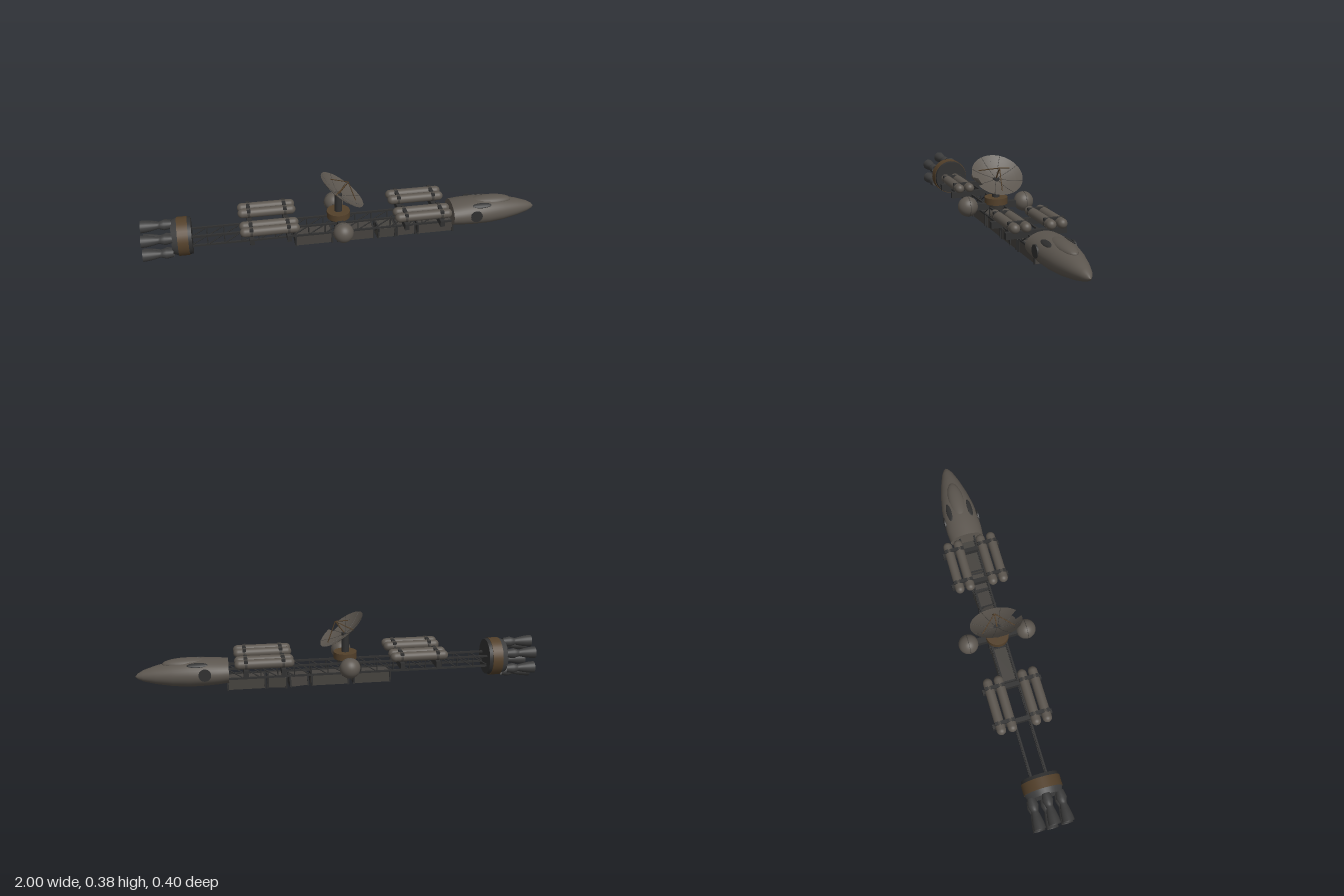
import * as THREE from 'three';

const mat = (name, color, side = THREE.FrontSide) => {
  const m = new THREE.MeshStandardMaterial({ color, side });
  m.name = name;
  return m;
};

export function createModel() {
  const hull = mat('warm grey hull', 0x5c564f);
  const dishMat = mat('dish grey', 0x5c564f, THREE.DoubleSide);
  const cargo = mat('cargo grey', 0x45423e);
  const dark = mat('dark metal', 0x303030);
  const engineMat = mat('engine grey', 0x3c3c3c, THREE.DoubleSide);
  const brown = mat('brown band', 0x53402a);
  const root = new THREE.Group();

  const add = (name, geo, m, x = 0, y = 0, z = 0, parent = root) => {
    const mesh = new THREE.Mesh(geo, m);
    mesh.name = name;
    mesh.position.set(x, y, z);
    parent.add(mesh);
    return mesh;
  };
  const box = (name, m, w, h, d, x, y, z, parent) =>
    add(name, new THREE.BoxGeometry(w, h, d), m, x, y, z, parent);
  // Cylinder along x, r1 at the +x end
  const cylX = (r1, r2, len, sides = 32) =>
    new THREE.CylinderGeometry(r1, r2, len, sides).rotateZ(-Math.PI / 2);
  // Straight bar between two points
  const bar = (name, a, b, r, m, parent, sides = 6) => {
    const A = new THREE.Vector3(...a), B = new THREE.Vector3(...b);
    const mesh = add(name, new THREE.CylinderGeometry(r, r, A.distanceTo(B), sides), m, 0, 0, 0, parent);
    mesh.position.copy(A).add(B).multiplyScalar(0.5);
    mesh.quaternion.setFromUnitVectors(new THREE.Vector3(0, 1, 0), B.sub(A).normalize());
  };

  // Crew nose: elliptical sections [x, centre y, half height, half width]
  const sections = [
    [0.55, 0.115, 0.058, 0.088], [0.6, 0.115, 0.063, 0.092], [0.66, 0.115, 0.067, 0.092],
    [0.74, 0.114, 0.068, 0.086], [0.82, 0.112, 0.06, 0.072], [0.9, 0.11, 0.045, 0.051],
    [0.96, 0.108, 0.028, 0.03], [0.988, 0.106, 0.014, 0.014], [1, 0.105, 0.001, 0.001],
  ];
  const N = 40, pos = [], idx = [];
  sections.forEach(([x, cy, hy, hz], i) => {
    for (let j = 0; j < N; j++) {
      const a = (j / N) * Math.PI * 2;
      pos.push(x, cy + hy * Math.cos(a), hz * Math.sin(a));
      if (i < sections.length - 1) {
        const p = i * N + j, q = i * N + ((j + 1) % N);
        idx.push(p, q, p + N, q, q + N, p + N);
      }
    }
  });
  const noseGeo = new THREE.BufferGeometry();
  noseGeo.setAttribute('position', new THREE.Float32BufferAttribute(pos, 3));
  noseGeo.setIndex(idx);
  noseGeo.computeVertexNormals();
  add('crewNose', noseGeo, hull);
  const bulkhead = add('noseBulkhead', new THREE.CircleGeometry(1, N).rotateY(-Math.PI / 2), hull, 0.55, 0.115, 0);
  bulkhead.scale.set(1, 0.058, 0.088);

  // Canopy hump, glazing and side hatch
  const blob = (name, m, x, y, z, sx, sy, sz, tilt = 0) => {
    const b = add(name, new THREE.SphereGeometry(1, 28, 16), m, x, y, z);
    b.scale.set(sx, sy, sz);
    b.rotation.x = tilt;
  };
  blob('canopyHump', hull, 0.75, 0.162, 0, 0.12, 0.027, 0.042);
  for (const s of [-1, 1])
    blob('canopyWindow', dark, 0.7, 0.167, s * 0.056, 0.05, 0.005, 0.015, s * 0.56);
  for (const s of [-1, 1]) {
    const hatch = add('sideHatch', new THREE.CylinderGeometry(0.03, 0.03, 0.008, 24), dark, 0.665, 0.125, s * 0.09);
    hatch.rotation.x = s * Math.PI / 2;
  }

  // Truss spine
  const truss = new THREE.Group();
  truss.name = 'trussSpine';
  root.add(truss);
  const x0 = -0.77, x1 = 0.56, y0 = 0.082, y1 = 0.134, bays = 16, step = (x1 - x0) / bays;
  for (const z of [-0.038, 0.038]) {
    for (const y of [y0, y1]) box('rail', dark, x1 - x0, 0.009, 0.009, (x0 + x1) / 2, y, z, truss);
    for (let i = 0; i < bays; i++) {
      const x = x0 + i * step;
      bar('post', [x, y0, z], [x, y1, z], 0.003, dark, truss);
      bar('diagonal', [x, y0, z], [x + step, y1, z], 0.003, dark, truss);
    }
  }

  // Paired tanks on cross beams
  for (const cx of [-0.385, 0.378]) {
    for (const z of [-0.115, -0.06, 0.06, 0.115]) {
      add('tank', new THREE.CapsuleGeometry(0.0235, 0.243, 8, 24).rotateZ(Math.PI / 2), hull, cx, 0.18, z);
      for (const dx of [-0.09, 0.09])
        add('tankStrap', cylX(0.0245, 0.0245, 0.012, 24), cargo, cx + dx, 0.18, z);
    }
    for (const dx of [-0.09, 0.09]) {
      box('tankBeam', dark, 0.022, 0.032, 0.3, cx + dx, 0.141, 0);
      for (const s of [-1, 1]) box('tankClamp', dark, 0.018, 0.012, 0.1, cx + dx, 0.197, s * 0.0875);
    }
  }

  // Cargo containers; the third is buckled in the middle
  const container = (x, len) => {
    const g = new THREE.Group();
    g.name = 'cargoContainer';
    g.position.set(x, 0.053, 0);
    root.add(g);
    box('containerBody', cargo, len, 0.054, 0.084, 0, 0, 0, g);
    for (const s of [-1, 1]) box('containerFrame', dark, 0.008, 0.058, 0.094, s * (len / 2 - 0.004), 0, 0, g);
    return g;
  };
  for (const x of [-0.162, 0.05, 0.465]) container(x, 0.192);
  const bent = [container(0.208, 0.096), container(0.312, 0.1)];
  bent[0].rotation.set(0.06, 0.06, -0.06);
  bent[1].rotation.set(-0.05, -0.05, 0.05);

  // Dish pedestal and side spheres
  const px = -0.032;
  add('pedestalFoot', new THREE.CylinderGeometry(0.05, 0.038, 0.03, 32), cargo, px, 0.138, 0);
  add('pedestalCollar', new THREE.CylinderGeometry(0.058, 0.058, 0.033, 32), brown, px, 0.168, 0);
  add('dishMast', new THREE.CylinderGeometry(0.018, 0.019, 0.1, 20), dark, px, 0.232, 0);
  box('sphereArm', dark, 0.03, 0.032, 0.26, px, 0.141, 0);
  for (const s of [-1, 1]) {
    add('sphereTank', new THREE.SphereGeometry(0.05, 32, 20), hull, px, 0.147, s * 0.15);
    add('sphereSeam', new THREE.TorusGeometry(0.05, 0.0015, 6, 40), cargo, px, 0.147, s * 0.15);
  }

  // Tilted dish with a bite out of its rim
  const dish = new THREE.Group();
  dish.name = 'dish';
  dish.position.set(-0.012, 0.302, 0);
  dish.rotation.z = -0.6435;
  root.add(dish);
  const R = 0.13, depth = (r) => 0.03 * ((r / R) ** 2 - 1);
  const profile = (a, b, n) => Array.from({ length: n + 1 }, (_, i) => {
    const r = a + ((b - a) * i) / n;
    return new THREE.Vector2(r, depth(r));
  });
  add('dishBowl', new THREE.LatheGeometry(profile(0.001, 0.098, 8), 48), dishMat, 0, 0, 0, dish);
  add('dishRim', new THREE.LatheGeometry(profile(0.098, R, 3), 46, 0.47, Math.PI * 2 - 0.45), dishMat, 0, 0, 0, dish);
  for (let i = 0; i < 8; i++) {
    const a = ((i + 0.5) / 8) * Math.PI * 2, end = i === 0 ? 0.097 : R;
    const pts = [0.005, 0.045, 0.09, end].map((r) =>
      new THREE.Vector3(r * Math.sin(a), depth(r), r * Math.cos(a)));
    add('dishRib', new THREE.TubeGeometry(new THREE.CatmullRomCurve3(pts), 10, 0.0015, 5), cargo, 0, 0, 0, dish);
  }
  for (const a of [Math.PI / 2, Math.PI * 7 / 6, -Math.PI / 6]) {
    const r = 0.095;
    bar('feedStrut', [r * Math.sin(a), depth(r), r * Math.cos(a)], [0, 0.05, 0], 0.0025, brown, dish);
  }
  bar('feedHorn', [0, -0.03, 0], [0, 0.05, 0], 0.003, brown, dish, 10);

  // Engine drum
  const ey = 0.12;
  add('engineDrum', cylX(0.09, 0.093, 0.018), dark, -0.769, ey, 0);
  add('engineBand', cylX(0.096, 0.096, 0.052), brown, -0.803, ey, 0);
  add('engineHousing', cylX(0.094, 0.083, 0.03), engineMat, -0.843, ey, 0);

  // Ring of six bells
  const bell = [[0.02, 0], [0.026, 0.035], [0.019, 0.055], [0.017, 0.065], [0.023, 0.09], [0.028, 0.12], [0.03, 0.147]]
    .map(([r, l]) => new THREE.Vector2(r, l));
  const bellGeo = new THREE.LatheGeometry(bell, 24).rotateZ(Math.PI / 2);
  for (let i = 0; i < 6; i++) {
    const a = (i / 6) * Math.PI * 2;
    add('engineBell', bellGeo, engineMat, -0.853, 0.113 + 0.08 * Math.cos(a), 0.08 * Math.sin(a));
  }
  return root;
}
